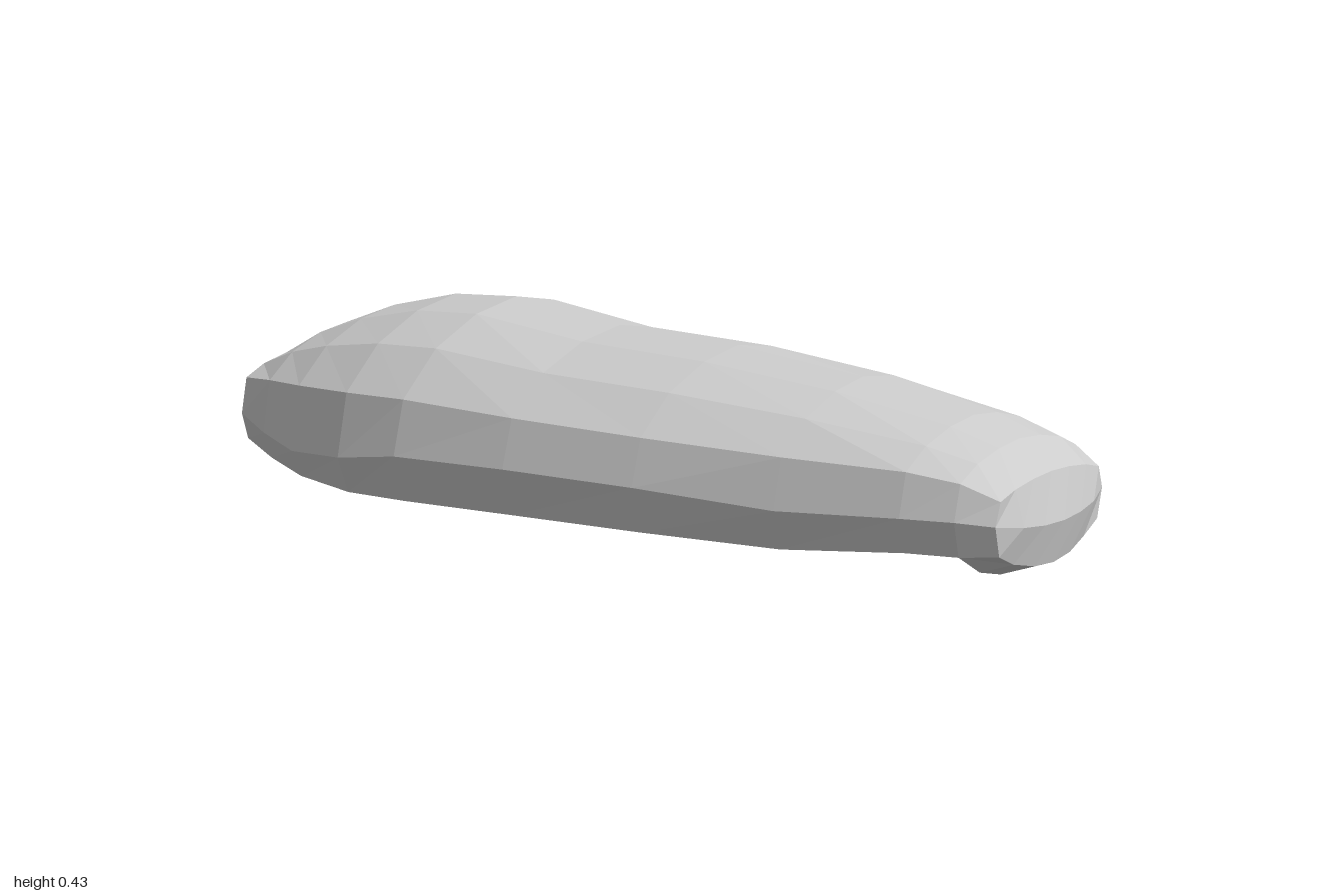
import * as THREE from 'three';

// Cross-sections, front to back:
// z, width -x, width +x, crown y, shoulder y, widest y, hem y at -x, hem y at +x
const ROWS = [
  [0.97, 0.22, 0.22, 0.205, 0.18, 0.135, 0.075, 0.075],
  [0.9, 0.25, 0.26, 0.26, 0.21, 0.14, 0.07, 0.07],
  [0.8, 0.28, 0.29, 0.295, 0.225, 0.14, 0.07, 0.07],
  [0.55, 0.325, 0.37, 0.345, 0.23, 0.13, 0.05, 0.05],
  [0.25, 0.37, 0.385, 0.38, 0.24, 0.145, 0.05, 0.05],
  [-0.05, 0.4, 0.35, 0.395, 0.25, 0.15, 0.05, 0.06],
  [-0.33, 0.41, 0.405, 0.433, 0.26, 0.145, 0.045, 0.035],
  [-0.5, 0.395, 0.395, 0.425, 0.255, 0.12, 0.04, 0.02],
  [-0.68, 0.345, 0.355, 0.385, 0.245, 0.105, 0.045, 0.02],
  [-0.82, 0.285, 0.305, 0.335, 0.235, 0.12, 0.06, 0.045],
  [-0.95, 0.22, 0.235, 0.265, 0.22, 0.14, 0.08, 0.08],
];
// Columns across the dome: share of the half width and of the crown height
const COLS = [-0.92, -0.66, -0.33, 0, 0.33, 0.66, 0.92];
const LIFT = [0, 0.54, 0.87, 1, 0.87, 0.54, 0];
const INSET = 0.92;

const halfWidth = (row, side) => (side < 0 ? row[1] : row[2]);
const domeRow = (row) => COLS.map((c, i) =>
  [c * halfWidth(row, c), row[4] + (row[3] - row[4]) * LIFT[i], row[0]]);
const widest = (row, side) => [side * halfWidth(row, side), row[5], row[0]];
const hem = (row, side) => [side * halfWidth(row, side) * INSET, side < 0 ? row[6] : row[7], row[0]];

// Curved line across one end, without its corners; y and z change away from the middle
function endLine(row, y, z, yRise, zPull) {
  return COLS.slice(1, -1).map((c) => {
    const t = (c / 0.66) ** 2;
    return [c * halfWidth(row, c), y + yRise * t, z - Math.sign(z) * zPull * t];
  });
}

// Band of quads between a lower and an upper line of points
function addBand(out, lower, upper) {
  for (let i = 0; i < lower.length - 1; i++) {
    const [a, b, c, d] = [lower[i], lower[i + 1], upper[i + 1], upper[i]];
    out.push(...a, ...b, ...c, ...a, ...c, ...d);
  }
}

function shellMesh(name, positions, material) {
  const geometry = new THREE.BufferGeometry();
  geometry.setAttribute('position', new THREE.Float32BufferAttribute(positions, 3));
  geometry.computeVertexNormals();
  const mesh = new THREE.Mesh(geometry, material);
  mesh.name = name;
  return mesh;
}

export function createModel() {
  const group = new THREE.Group();
  group.name = 'shellCover';
  const material = new THREE.MeshStandardMaterial({
    color: 0xcccccc, flatShading: true, side: THREE.DoubleSide,
  });
  const first = ROWS[0];
  const last = ROWS[ROWS.length - 1];
  const dome = ROWS.map(domeRow);

  // Domed top
  const top = [];
  for (let r = 0; r < dome.length - 1; r++) addBand(top, dome[r], dome[r + 1]);
  group.add(shellMesh('domedTop', top, material));

  // Closed line round the plan: front, +x side, back, -x side
  const loop = (front, back, sidePoint) => {
    const pts = [
      ...front,
      ...ROWS.map((row) => sidePoint(row, 1)),
      ...back.slice().reverse(),
      ...ROWS.map((row) => sidePoint(row, -1)).reverse(),
    ];
    return [...pts, pts[0]];
  };

  // Side wall: shoulder line, widest line and hem
  const inner = (row) => row.slice(1, -1);
  const shoulder = loop(inner(dome[0]), inner(dome[dome.length - 1]),
    (row, s) => domeRow(row)[s < 0 ? 0 : COLS.length - 1]);
  const belt = loop(endLine(first, 0.113, 1, 0.01, 0.01), endLine(last, 0.15, -1, -0.005, 0.01), widest);
  const frontHem = endLine(first, 0.028, 0.98, 0.022, 0.01);
  const backHem = endLine(last, 0.055, -0.955, 0.012, 0.005);
  const hemLine = loop(frontHem, backHem, hem);
  const wall = [];
  addBand(wall, belt, shoulder);
  addBand(wall, hemLine, belt);
  group.add(shellMesh('sideWall', wall, material));

  // Lips that curl under at both ends
  const addLip = (name, endRow, nextRow, hemPts, edgePts, dir) => {
    const outer = [hem(endRow, -1), ...hemPts, hem(endRow, 1)];
    const edge = [hem(nextRow, -1), ...edgePts, hem(nextRow, 1)];
    if (dir < 0) { outer.reverse(); edge.reverse(); }
    const lip = [];
    addBand(lip, edge, outer);
    group.add(shellMesh(name, lip, material));
  };
  const nextFront = ROWS[1];
  const nextBack = ROWS[ROWS.length - 2];
  addLip('frontLip', first, nextFront, frontHem, endLine(nextFront, 0.003, 0.91, 0.027, 0), 1);
  addLip('backLip', last, nextBack, backHem, endLine(nextBack, 0, -0.81, 0.022, 0), -1);

  return group;
}
